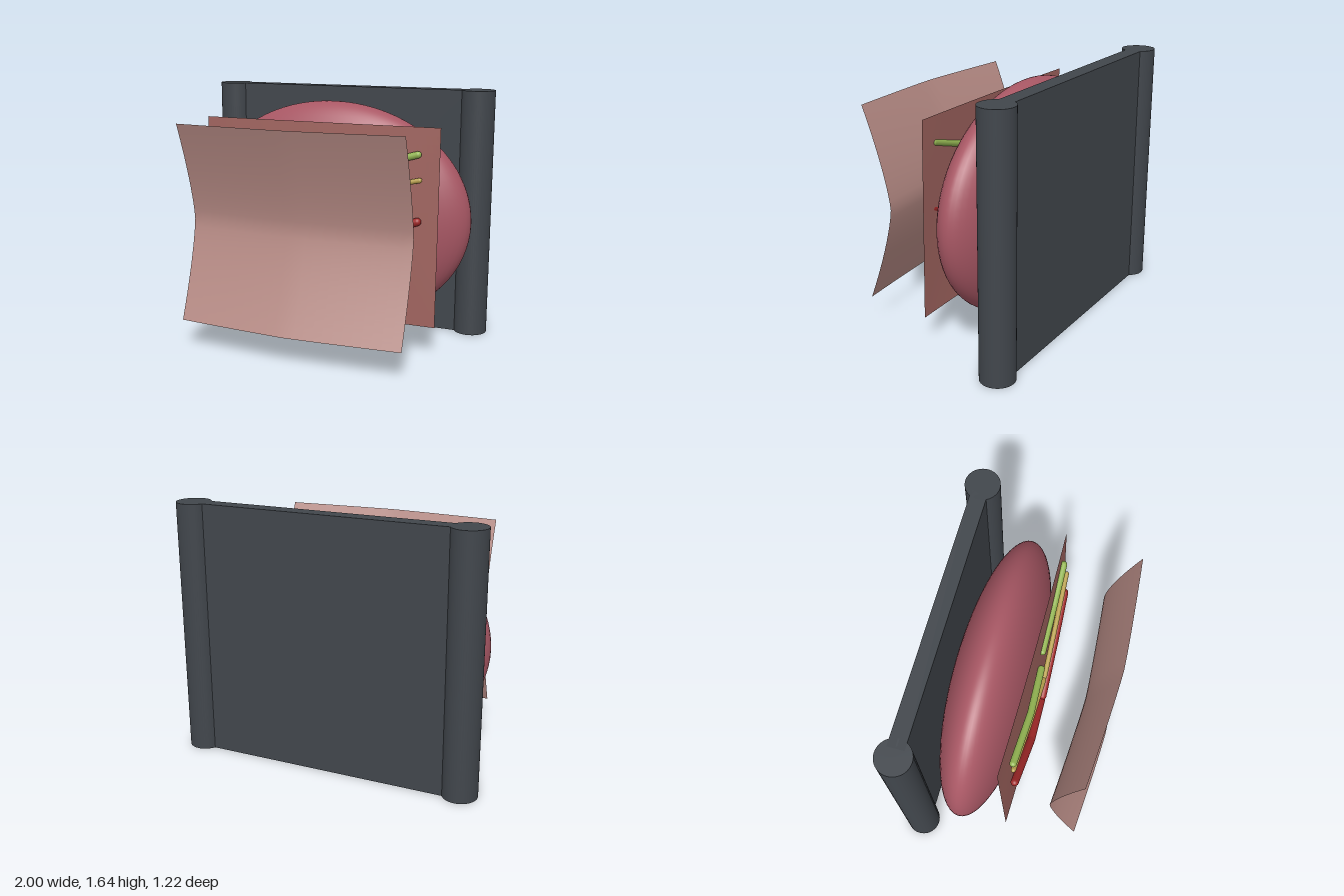
import * as THREE from 'three';

export function createModel() {
  const model = new THREE.Group();
  const mat = (color, side = THREE.FrontSide) => new THREE.MeshStandardMaterial({ color, side });
  const add = (parent, name, geometry, material, x = 0, y = 0, z = 0) => {
    const mesh = new THREE.Mesh(geometry, material);
    mesh.name = name;
    mesh.position.set(x, y, z);
    parent.add(mesh);
    return mesh;
  };

  // Back frame: a flat panel held between two round posts
  const frame = mat(0x41464c);
  add(model, 'backPanel', new THREE.BoxGeometry(1.68, 1.64, 0.105), frame, 0, 0.82, -0.503);
  for (const s of [-1, 1]) {
    add(model, s > 0 ? 'leftPost' : 'rightPost',
      new THREE.CylinderGeometry(0.11, 0.11, 1.64, 48), frame, s * 0.89, 0.82, -0.5);
  }

  // Flattened oval body
  const body = add(model, 'ovalBody', new THREE.SphereGeometry(1, 64, 40), mat(0xa85764), 0, 0.82, -0.18);
  body.scale.set(0.95, 0.745, 0.27);

  // Curved sheet: depth(u, v) with u, v from -1 to 1 across and up
  function sheet(name, halfW, halfH, color, depth) {
    const g = new THREE.PlaneGeometry(2 * halfW, 2 * halfH, 24, 24);
    const p = g.attributes.position;
    for (let i = 0; i < p.count; i++) p.setZ(i, depth(p.getX(i) / halfW, p.getY(i) / halfH));
    g.computeVertexNormals();
    add(model, name, g, mat(color, THREE.DoubleSide), 0, 0.8225, 0);
  }
  sheet('innerSheet', 0.805, 0.63, 0xa0645f,
    (u, v) => 0.071 - 0.013 * v + 0.01 * (1 - u * u) + 0.013 * (1 - u * u) * (1 - v * v));
  sheet('outerSheet', 0.745, 0.6375, 0xb88c86,
    (u, v) => 0.415 + 0.19 * Math.abs(v) ** 1.35 - 0.05 * Math.abs(u) ** 1.25);

  // Thin jointed tubes, each made of rounded segments
  function tube(name, points, radius, color) {
    const group = new THREE.Group();
    group.name = name;
    const material = mat(color);
    const pts = points.map((p) => new THREE.Vector3(...p));
    for (let i = 0; i < pts.length - 1; i++) {
      const dir = pts[i + 1].clone().sub(pts[i]);
      const mid = pts[i].clone().add(pts[i + 1]).multiplyScalar(0.5);
      const seg = add(group, name + 'Segment',
        new THREE.CapsuleGeometry(radius, dir.length(), 8, 20), material, mid.x, mid.y, mid.z);
      seg.quaternion.setFromUnitVectors(new THREE.Vector3(0, 1, 0), dir.normalize());
    }
    model.add(group);
  }
  const green = 0x93b552, yellow = 0xb8a04e, red = 0xa02828;
  tube('leftGreenTube', [[0.11, 1.16, 0.09], [0.41, 1.21, 0.085], [0.67, 1.285, 0.08]], 0.022, green);
  tube('rightGreenTube', [[-0.66, 1.27, 0.11], [-0.31, 1.2, 0.125], [0, 1.15, 0.11]], 0.022, green);
  tube('leftYellowTube', [[0.02, 0.97, 0.13], [0.38, 1.06, 0.115], [0.69, 1.13, 0.1]], 0.016, yellow);
  tube('rightYellowTube', [[-0.66, 1.12, 0.11], [-0.31, 1.04, 0.125], [0, 0.97, 0.13]], 0.016, yellow);
  tube('leftRedTube', [[0.02, 0.6, 0.125], [0.36, 0.75, 0.115], [0.68, 0.87, 0.1]], 0.026, red);
  tube('rightRedTube', [[-0.66, 0.82, 0.115], [-0.31, 0.65, 0.133], [0, 0.575, 0.122]], 0.026, red);

  return model;
}
